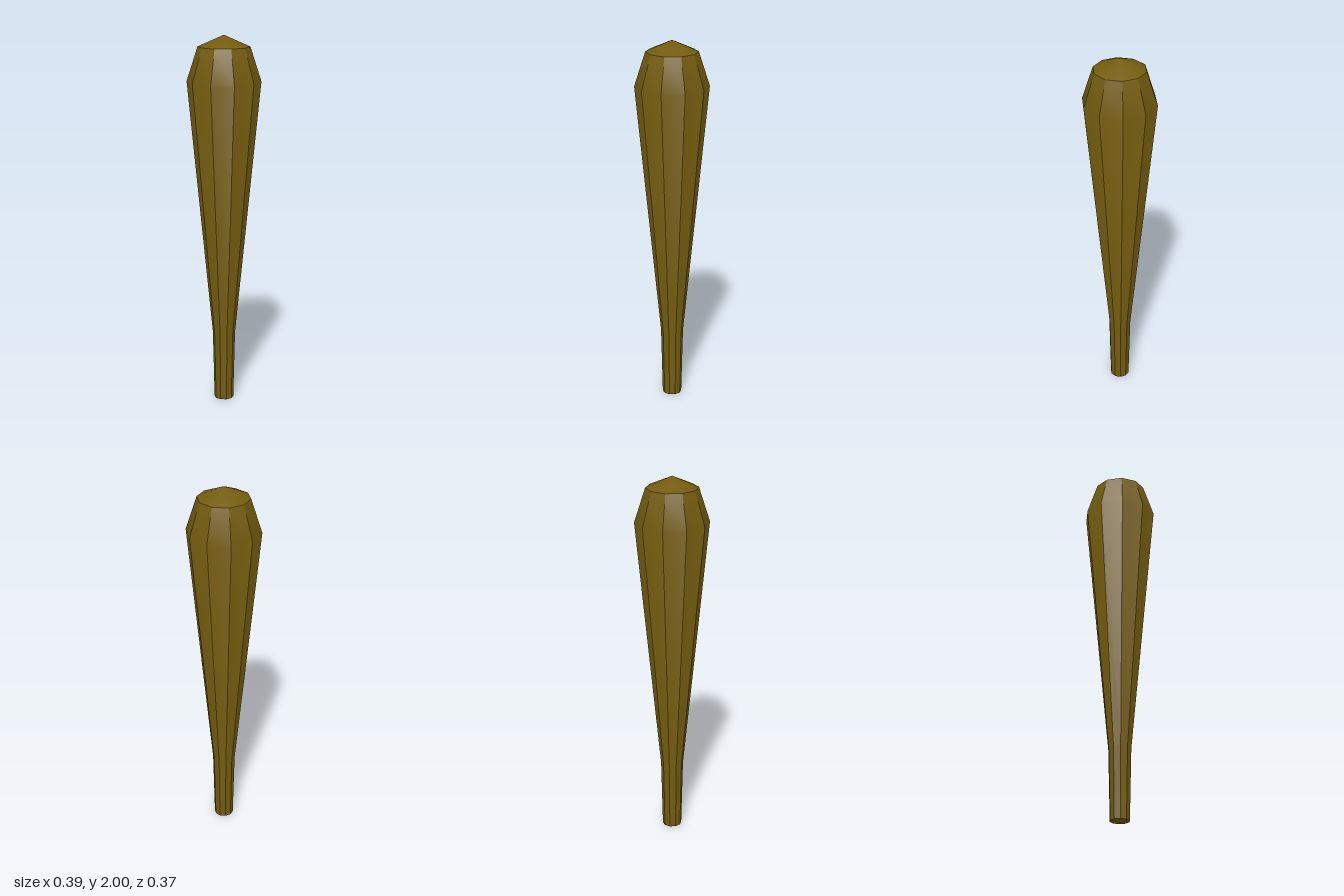
import * as THREE from 'three';
import { toCreasedNormals } from 'three/addons/utils/BufferGeometryUtils.js';

export function createModel() {
  const model = new THREE.Group();
  model.name = 'club';

  // Ten-sided club: straight grip, flaring body, chamfered head, low pointed cap
  const profile = [
    [0, 0], [0.052, 0], [0.061, 0.38], [0.195, 1.76], [0.137, 1.94], [0, 2],
  ].map(([r, y]) => new THREE.Vector2(r, y));

  // Start at +x so that corners lie on the x axis; long edges stay sharp
  const lathe = new THREE.LatheGeometry(profile, 10, Math.PI / 2);
  const geometry = toCreasedNormals(lathe, Math.PI / 6);

  const club = new THREE.Mesh(geometry, new THREE.MeshStandardMaterial({ color: 0x745c0e }));
  club.name = 'clubBody';
  model.add(club);
  return model;
}
